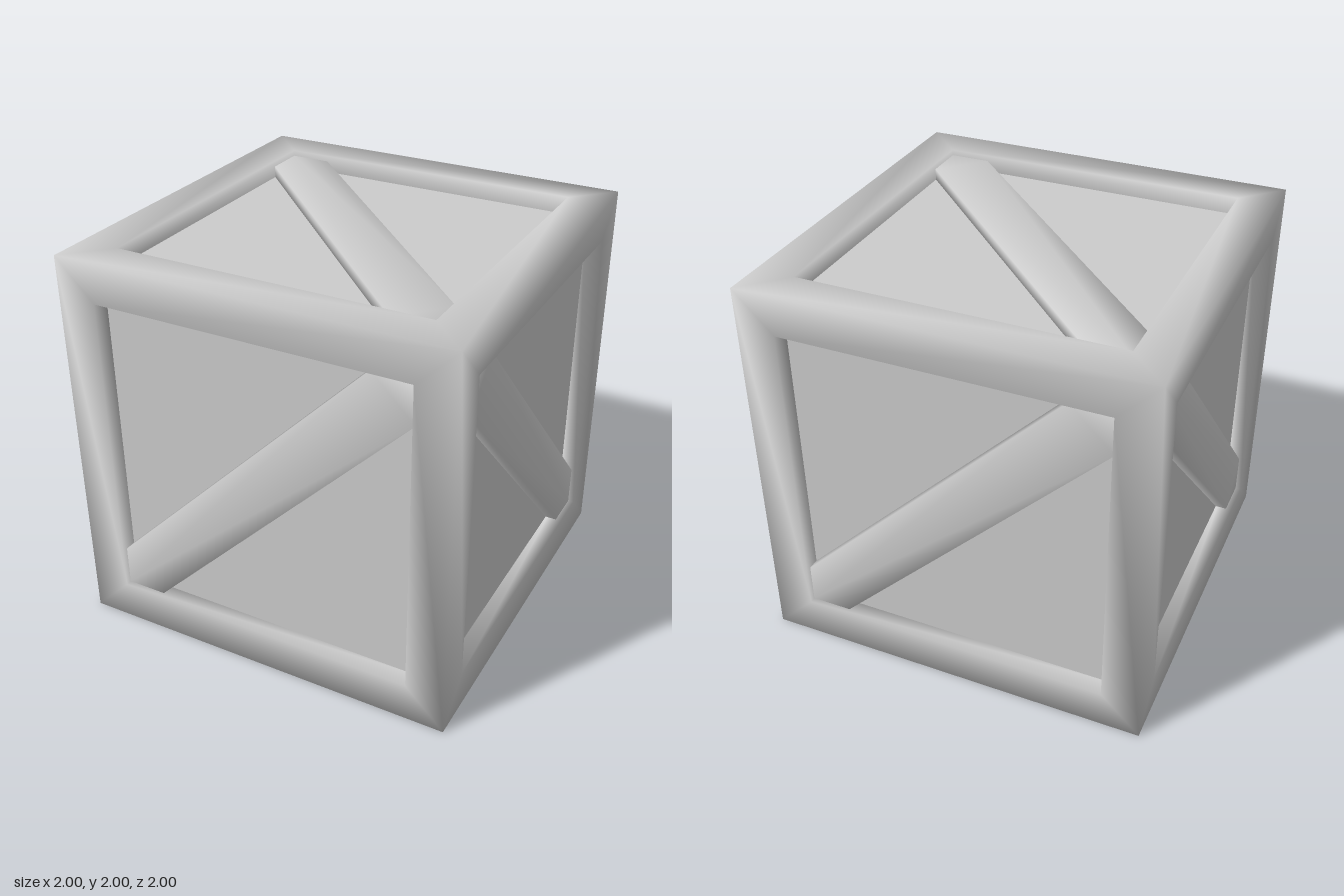
import * as THREE from 'three';
import { mergeVertices } from 'three/addons/utils/BufferGeometryUtils.js';

const OUTER = 1;      // half size of the crate
const RIM = 0.8;      // half size of each opening
const PANEL = 0.91;   // distance of the recessed panels from the centre
const BRACE = 0.97;   // distance of the brace faces from the centre

// Joins equal positions so that the normals run smoothly over the edges
function smooth(geometry) {
  geometry.deleteAttribute('uv');
  geometry.deleteAttribute('normal');
  const merged = mergeVertices(geometry, 1e-4);
  merged.computeVertexNormals();
  return merged;
}

// One transform per side; local z points outwards and each diagonal
// from (-,-) to (+,+) meets those of the neighbouring sides in a corner
function sideMatrices() {
  const axes = [[1, 0, 0], [0, 1, 0], [0, 0, 1]].map(a => new THREE.Vector3(...a));
  const list = [];
  for (let i = 0; i < 3; i++) {
    for (const sign of [1, -1]) {
      const u = axes[(i + 1) % 3].clone().multiplyScalar(sign);
      const n = axes[i].clone().multiplyScalar(sign);
      list.push(new THREE.Matrix4().makeBasis(u, axes[(i + 2) % 3], n));
    }
  }
  return list;
}

// Beams around all six openings, with the walls running in to the panels
function frameGeometry(sides) {
  const rings = [[OUTER, OUTER], [RIM, OUTER], [RIM, PANEL]];
  const corners = [[-1, -1], [1, -1], [1, 1], [-1, 1]];
  const positions = [];
  for (const m of sides) {
    const at = (r, k) => {
      const [s, d] = rings[r];
      const [x, y] = corners[k % 4];
      return new THREE.Vector3(x * s, y * s, d).applyMatrix4(m).toArray();
    };
    for (let r = 0; r < 2; r++) {
      for (let k = 0; k < 4; k++) {
        const a = at(r, k), b = at(r, k + 1), c = at(r + 1, k + 1), d = at(r + 1, k);
        positions.push(...a, ...b, ...c, ...a, ...c, ...d);
      }
    }
  }
  const geometry = new THREE.BufferGeometry();
  geometry.setAttribute('position', new THREE.Float32BufferAttribute(positions, 3));
  return smooth(geometry);
}

// Diagonal board cut to the shape of the opening
function braceGeometry() {
  const e = RIM, c = RIM - 0.21;
  const outline = [[-e, -e], [-c, -e], [e, c], [e, e], [c, e], [-e, -c]];
  const shape = new THREE.Shape(outline.map(p => new THREE.Vector2(...p)));
  const base = PANEL - 0.01;
  const geometry = new THREE.ExtrudeGeometry(shape, { depth: BRACE - base, bevelEnabled: false });
  return smooth(geometry.translate(0, 0, base));
}

export function createModel() {
  const group = new THREE.Group();
  group.name = 'crate';
  const material = new THREE.MeshStandardMaterial({ color: 0xcccccc });
  const sides = sideMatrices();
  const add = (name, geometry) => {
    const mesh = new THREE.Mesh(geometry, material);
    mesh.name = name;
    mesh.position.y = OUTER;
    group.add(mesh);
    return mesh;
  };

  add('frame', frameGeometry(sides));
  add('panels', new THREE.BoxGeometry(2 * PANEL, 2 * PANEL, 2 * PANEL));

  // One brace on every side
  const brace = braceGeometry();
  const names = ['left', 'right', 'top', 'bottom', 'front', 'back'];
  sides.forEach((m, i) => {
    add(names[i] + 'Brace', brace).quaternion.setFromRotationMatrix(m);
  });
  return group;
}
